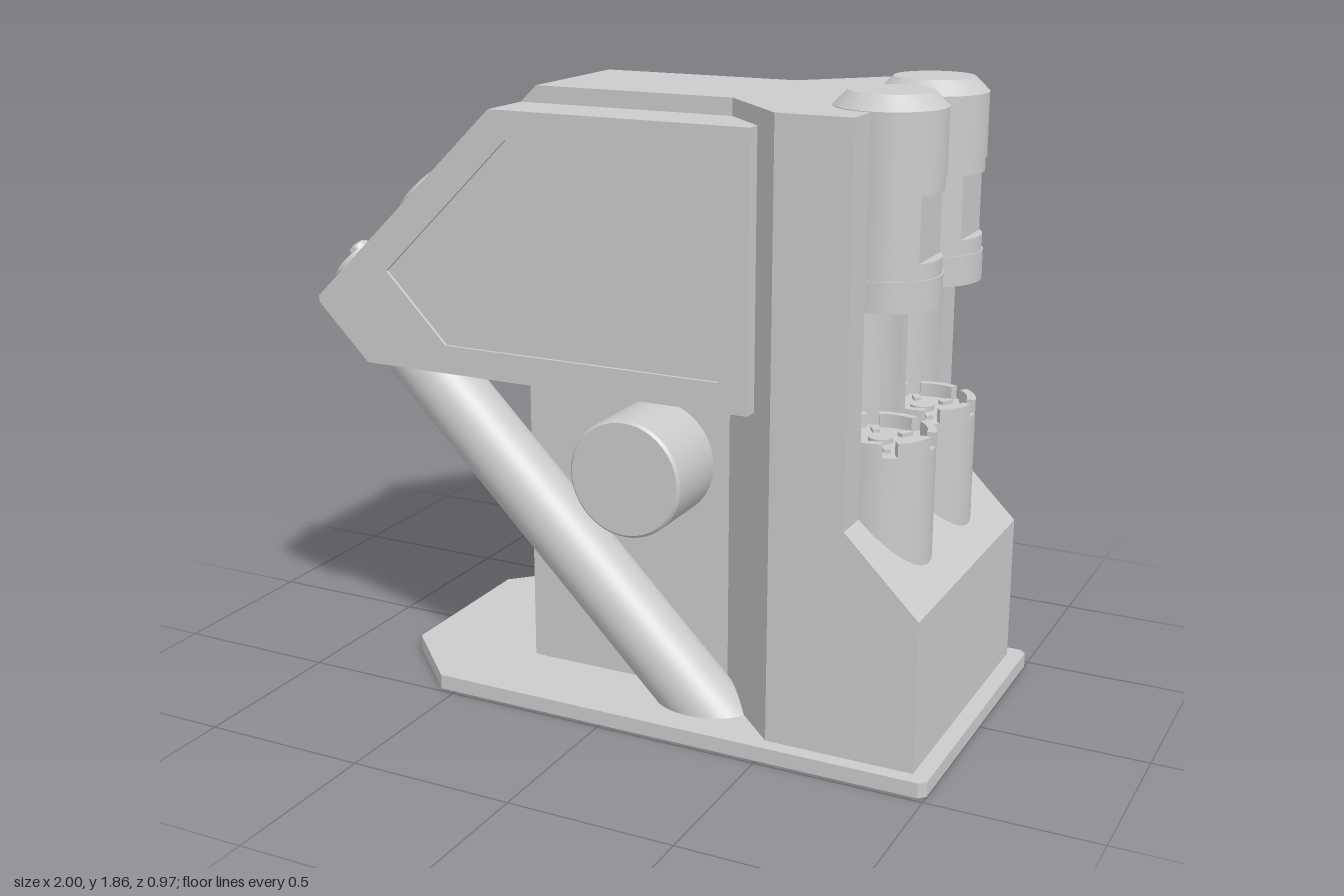
import * as THREE from 'three';
import { toCreasedNormals } from 'three/addons/utils/BufferGeometryUtils.js';

const material = new THREE.MeshStandardMaterial({ color: 0xcccccc });

function add(parent, name, geometry, x = 0, y = 0, z = 0) {
  const mesh = new THREE.Mesh(geometry, material);
  mesh.name = name;
  mesh.position.set(x, y, z);
  parent.add(mesh);
  return mesh;
}

const polygon = (points) => new THREE.Shape(points.map(([x, y]) => new THREE.Vector2(x, y)));

// Extrude a shape from 0 to depth along z, keeping arcs smooth
function extrude(shape, depth, bevel = 0) {
  const geometry = new THREE.ExtrudeGeometry(shape, {
    depth: depth - bevel, curveSegments: 24, bevelEnabled: bevel > 0,
    bevelSize: bevel, bevelThickness: bevel, bevelOffset: -bevel, bevelSegments: 1,
  });
  return toCreasedNormals(geometry, 0.5);
}

// Side profile (x, y) extruded symmetrically in z
const sideProfile = (points, halfWidth) =>
  extrude(polygon(points), halfWidth * 2).translate(0, 0, -halfWidth);

// Plan (x, z) extruded upwards from y = 0
const plan = (shape, height, bevel = 0) => extrude(shape, height, bevel).rotateX(-Math.PI / 2);

// Disc with a small chamfer on its upper edge, standing on y = 0
function chamferedDisc(radius, height, chamfer) {
  const profile = [[0, 0], [radius, 0], [radius, height - chamfer], [radius - chamfer, height], [0, height]];
  const geometry = new THREE.LatheGeometry(profile.map(([r, y]) => new THREE.Vector2(r, y)), 48);
  return toCreasedNormals(geometry, 0.5);
}

function stadium(halfLength, radius) {
  const shape = new THREE.Shape();
  const c = halfLength - radius;
  shape.absarc(0, c, radius, 0, Math.PI, false);
  shape.absarc(0, -c, radius, Math.PI, Math.PI * 2, false);
  shape.closePath();
  return shape;
}

const CAN_X = 0.73, CAN_Z = 0.175, CAN_R = 0.155;

// Rear column with two half-round channels for the canisters
function columnGeometry() {
  const shape = new THREE.Shape();
  shape.moveTo(0.29, -0.22);
  shape.lineTo(0.51, -0.44);
  shape.lineTo(CAN_X, -0.44);
  for (const z of [-CAN_Z, CAN_Z]) {
    shape.lineTo(CAN_X, z - CAN_R);
    shape.absarc(CAN_X, z, CAN_R, -Math.PI / 2, -Math.PI * 1.5, true);
  }
  shape.lineTo(CAN_X, 0.44);
  shape.lineTo(0.51, 0.44);
  shape.lineTo(0.29, 0.22);
  return plan(shape, 1.775).translate(0, 0.045, 0);
}

function canister(z) {
  const group = new THREE.Group();
  group.name = 'canister';
  group.position.set(CAN_X, 0, z);
  const r = CAN_R - 0.001;

  // Upper body: stacked bands, the window band cut flat on its outer side
  const bands = [
    ['lowerCollar', 1.29, 1.375, r], ['windowSill', 1.375, 1.42, 0.15],
    ['windowBand', 1.42, 1.6, 0.15], ['windowLintel', 1.6, 1.64, 0.15],
    ['upperCollar', 1.64, 1.82, r],
  ];
  for (const [name, y0, y1, radius] of bands) {
    let geometry = new THREE.CylinderGeometry(radius, radius, y1 - y0, 64);
    if (name === 'windowBand') {
      const p = geometry.attributes.position;
      for (let i = 0; i < p.count; i++) p.setX(i, Math.min(p.getX(i), 0.122));
      geometry = toCreasedNormals(geometry, 0.25);
    }
    add(group, name, geometry, 0, (y0 + y1) / 2);
  }
  add(group, 'cap', chamferedDisc(CAN_R, 0.042, 0.04), 0, 1.82);

  // Lower cup with six notches in the rim
  add(group, 'cup', new THREE.CylinderGeometry(r, r, 0.435, 64), 0, 0.6725);
  add(group, 'cupCentre', new THREE.CylinderGeometry(0.035, 0.035, 0.015, 24), 0, 0.897);
  for (let i = 0; i < 6; i++) {
    const start = (i * Math.PI) / 3 + 0.14, end = start + Math.PI / 3 - 0.28;
    const arc = new THREE.Shape();
    arc.absarc(0, 0, r, start, end, false);
    arc.absarc(0, 0, r - 0.025, end, start, true);
    arc.closePath();
    add(group, 'rimTooth', plan(arc, 0.04), 0, 0.89);
    const spoke = add(group, 'cupSpoke', new THREE.BoxGeometry(0.04, 0.012, 0.02), 0, 0.895);
    spoke.geometry.translate(0.09, 0, 0);
    spoke.rotation.y = (i * Math.PI) / 3;
  }
  return group;
}

// Controls on the sloped face: local x runs up the slope, local y points out of it
function controlFace() {
  const group = new THREE.Group();
  group.name = 'controlFace';
  group.position.set(-1, 1.17, 0);
  group.rotation.z = Math.atan2(0.65, 0.67);
  for (const [s, z] of [[0.43, -CAN_Z], [0.43, CAN_Z], [0.69, 0]]) {
    add(group, 'roundButton', chamferedDisc(0.135, 0.04, 0.004), s, 0, z);
  }
  add(group, 'controlPlate', plan(stadium(0.38, 0.092), 0.02, 0.006), 0.118, 0, 0);
  const rim = stadium(0.365, 0.077);
  rim.holes.push(stadium(0.352, 0.064));
  add(group, 'plateRim', plan(rim, 0.008), 0.118, 0.018, 0);
  for (const z of [-0.265, 0.265]) {
    add(group, 'plateBolt', chamferedDisc(0.034, 0.045, 0.006), 0.128, 0.015, z);
  }
  for (let i = 0; i < 14; i++) {
    add(group, 'ventTick', new THREE.BoxGeometry(0.008, 0.004, 0.018), 0.075, 0.021, -0.195 + i * 0.03);
  }
  return group;
}

export function createModel() {
  const model = new THREE.Group();
  model.name = 'console';

  // Base plate with a tapered front end
  add(model, 'basePlate', plan(polygon([
    [-0.77, -0.265], [-0.55, -0.485], [0.98, -0.485], [1, -0.465],
    [1, 0.465], [0.98, 0.485], [-0.55, 0.485], [-0.77, 0.265],
  ]), 0.045));

  // Central spine, rear column and sloped rear block
  add(model, 'spine', sideProfile([
    [-0.37, 0.045], [0.3, 0.045], [0.3, 1.82], [-0.33, 1.82], [-0.381, 1.77], [-0.37, 1.7],
  ], 0.22));
  add(model, 'rearColumn', columnGeometry());
  add(model, 'rearBlock', sideProfile([
    [CAN_X, 0.045], [0.95, 0.045], [0.95, 0.49], [CAN_X, 0.71],
  ], 0.44));

  // Head with a shallow recessed panel on both sides
  const outline = [[-1, 1.15], [-0.83, 0.98], [0.425, 0.98], [0.425, 1.77], [-0.381, 1.77], [-1, 1.17]];
  add(model, 'head', sideProfile(outline, 0.39));
  const frame = polygon(outline);
  frame.holes.push(polygon([[-0.75, 1.27], [-0.33, 1.685], [0.338, 1.685], [0.338, 1.065], [-0.55, 1.065]]));
  add(model, 'panelFrame', extrude(frame, 0.01), 0, 0, 0.39);
  add(model, 'panelFrame', extrude(frame, 0.01), 0, 0, -0.4);
  model.add(controlFace());

  // Diagonal struts, sheared so that both ends lie flat, and side knobs
  const shear = new THREE.Matrix4().set(
    Math.SQRT2, -1, 0, 0,
    0, 1, 0, 0,
    0, 0, 1, 0,
    0, 0, 0, 1,
  );
  for (const side of [-1, 1]) {
    const strut = new THREE.CylinderGeometry(0.105, 0.105, 0.96, 48).applyMatrix4(shear);
    add(model, 'strut', strut, -0.225, 0.515, side * 0.292);
    const knob = add(model, 'sideKnob', chamferedDisc(0.175, 0.245, 0.008), 0.065, 0.757, side * 0.2);
    knob.rotation.x = (side * Math.PI) / 2;
    model.add(canister(side * CAN_Z));
  }
  return model;
}
